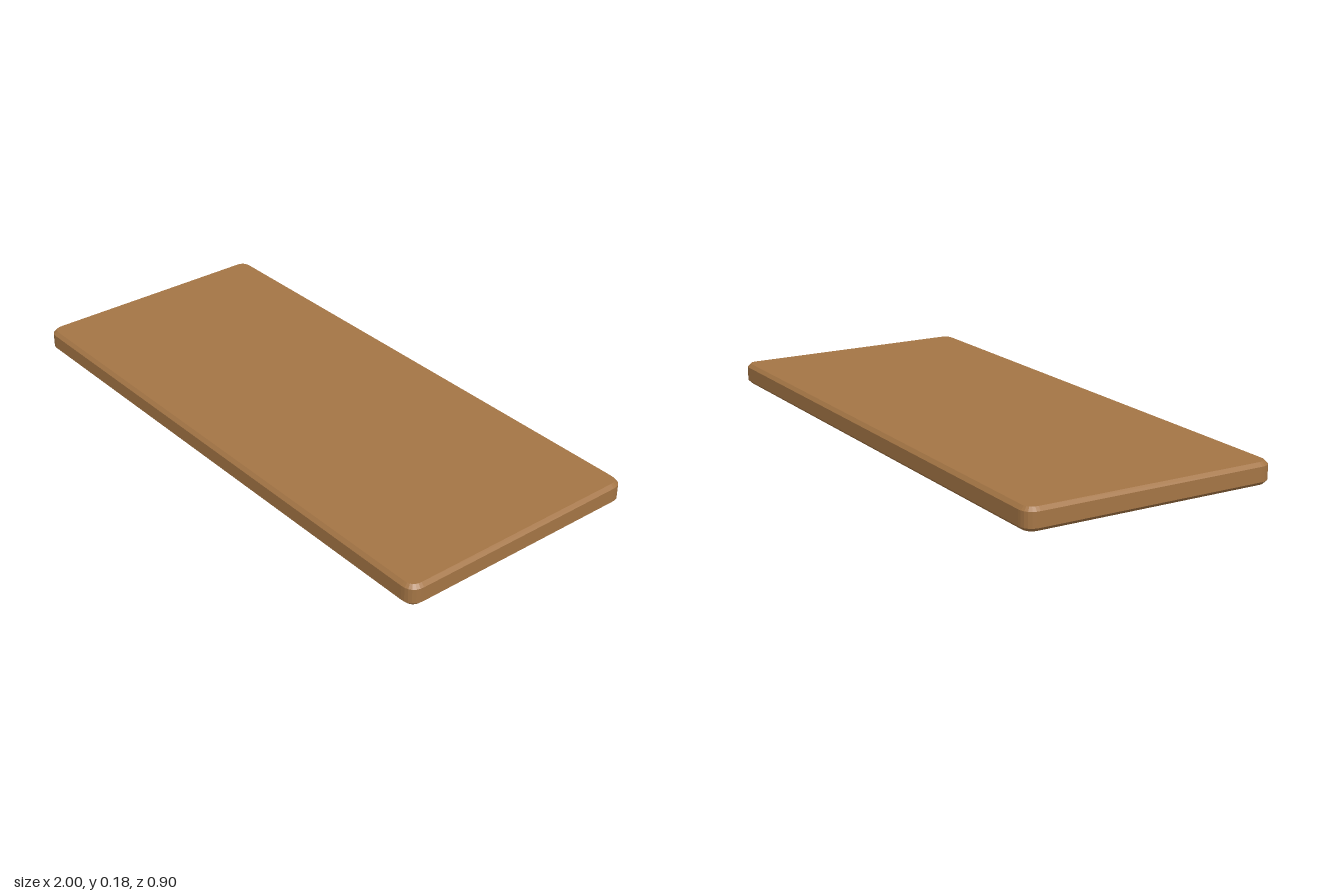
import * as THREE from 'three';

export function createModel() {
  const model = new THREE.Group();
  const wood = new THREE.MeshStandardMaterial({ color: 0xa47545 });
  wood.name = 'brown wood';

  const add = (name, geometry, x, y, z) => {
    const mesh = new THREE.Mesh(geometry, wood);
    mesh.name = name;
    mesh.position.set(x, y, z);
    model.add(mesh);
  };

  // Top slab: rounded rectangle with chamfered upper and lower edges
  const bevel = 0.012, bottom = 0.106, top = 0.18;
  const w = 1 - bevel, d = 0.448 - bevel, r = 0.035;
  const outline = new THREE.Shape();
  outline.moveTo(-w + r, -d);
  outline.lineTo(w - r, -d);
  outline.quadraticCurveTo(w, -d, w, -d + r);
  outline.lineTo(w, d - r);
  outline.quadraticCurveTo(w, d, w - r, d);
  outline.lineTo(-w + r, d);
  outline.quadraticCurveTo(-w, d, -w, d - r);
  outline.lineTo(-w, -d + r);
  outline.quadraticCurveTo(-w, -d, -w + r, -d);
  const slab = new THREE.ExtrudeGeometry(outline, {
    depth: top - bottom - 2 * bevel,
    bevelEnabled: true, bevelThickness: bevel, bevelSize: bevel, bevelSegments: 1,
    curveSegments: 6,
  });
  slab.rotateX(-Math.PI / 2);
  add('tableTop', slab, 0, bottom + bevel, 0);

  // Apron: two long rails and two end rails that stand slightly proud
  const apronHeight = bottom - 0.041, apronY = 0.041 + apronHeight / 2;
  for (const s of [1, -1]) {
    add(s > 0 ? 'frontRail' : 'backRail',
      new THREE.BoxGeometry(1.52, apronHeight, 0.05), 0, apronY, s * 0.314);
    add(s > 0 ? 'leftRail' : 'rightRail',
      new THREE.BoxGeometry(0.05, apronHeight, 0.578), s * 0.755, apronY, 0);
  }

  // Central stretcher bar
  add('stretcher', new THREE.BoxGeometry(1.32, 0.052, 0.052), 0, 0.026, 0);

  return model;
}
